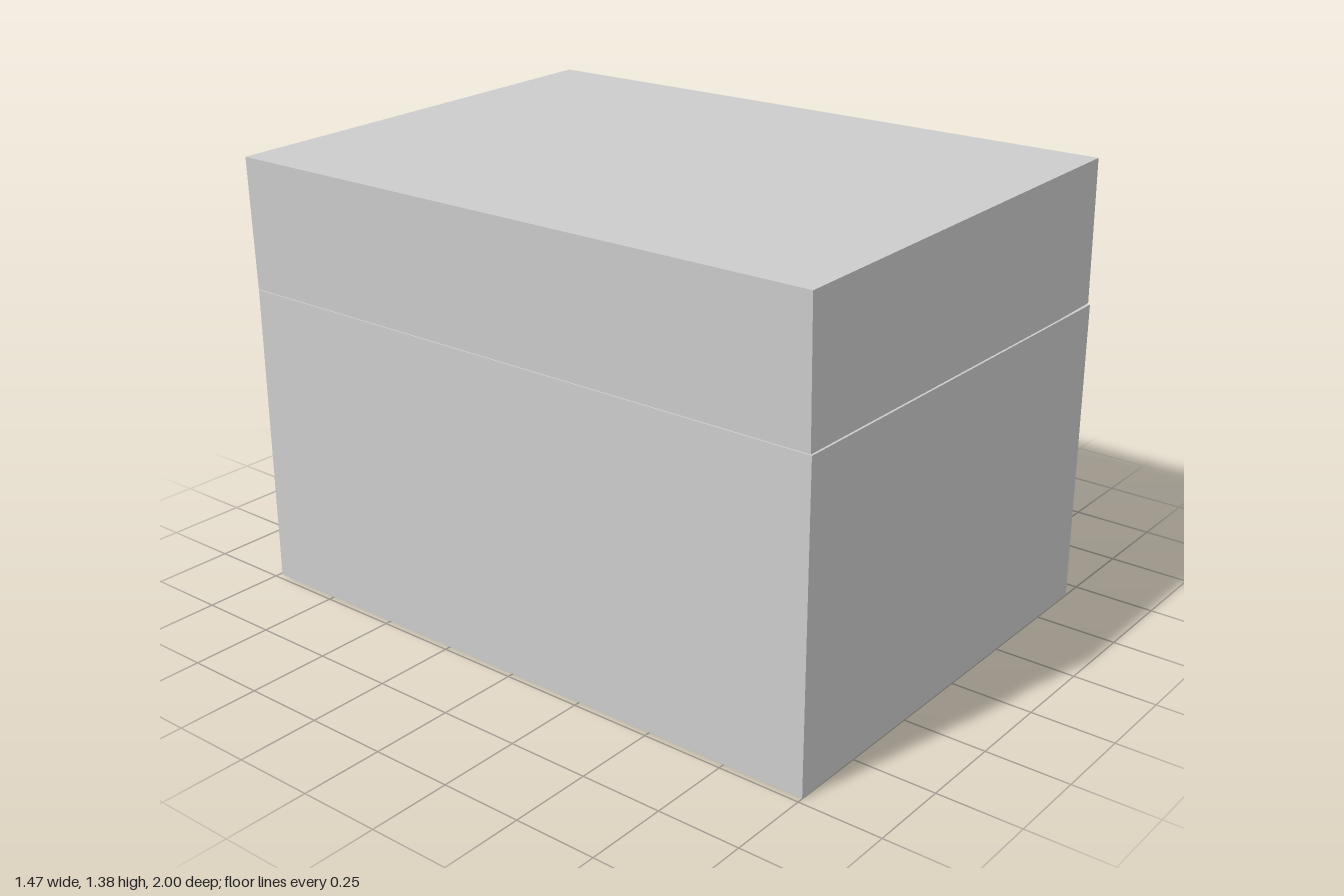
import * as THREE from 'three';

const material = new THREE.MeshStandardMaterial({ color: 0xcccccc, flatShading: true });

// Box given by its size and centre
function box(name, size, centre) {
  const mesh = new THREE.Mesh(new THREE.BoxGeometry(...size), material);
  mesh.name = name;
  mesh.position.set(...centre);
  return mesh;
}

export function createModel() {
  const model = new THREE.Group();
  model.name = 'chest';

  // Chest body
  model.add(box('body', [1.414, 0.942, 1.99], [-0.024, 0.471, 0.004]));

  // Lid, resting slightly askew on the body
  const lid = box('lid', [1.41, 0.433, 1.99], [-0.025, 1.146, -0.003]);
  lid.rotation.set(-0.002, 0, 0.02);
  model.add(lid);

  // Two-part clasp on the long side
  model.add(box('claspPlate', [0.08, 0.225, 0.32], [0.695, 0.8325, -0.007]));
  model.add(box('claspHasp', [0.06, 0.145, 0.203], [0.69, 1.0225, -0.007]));

  return model;
}
